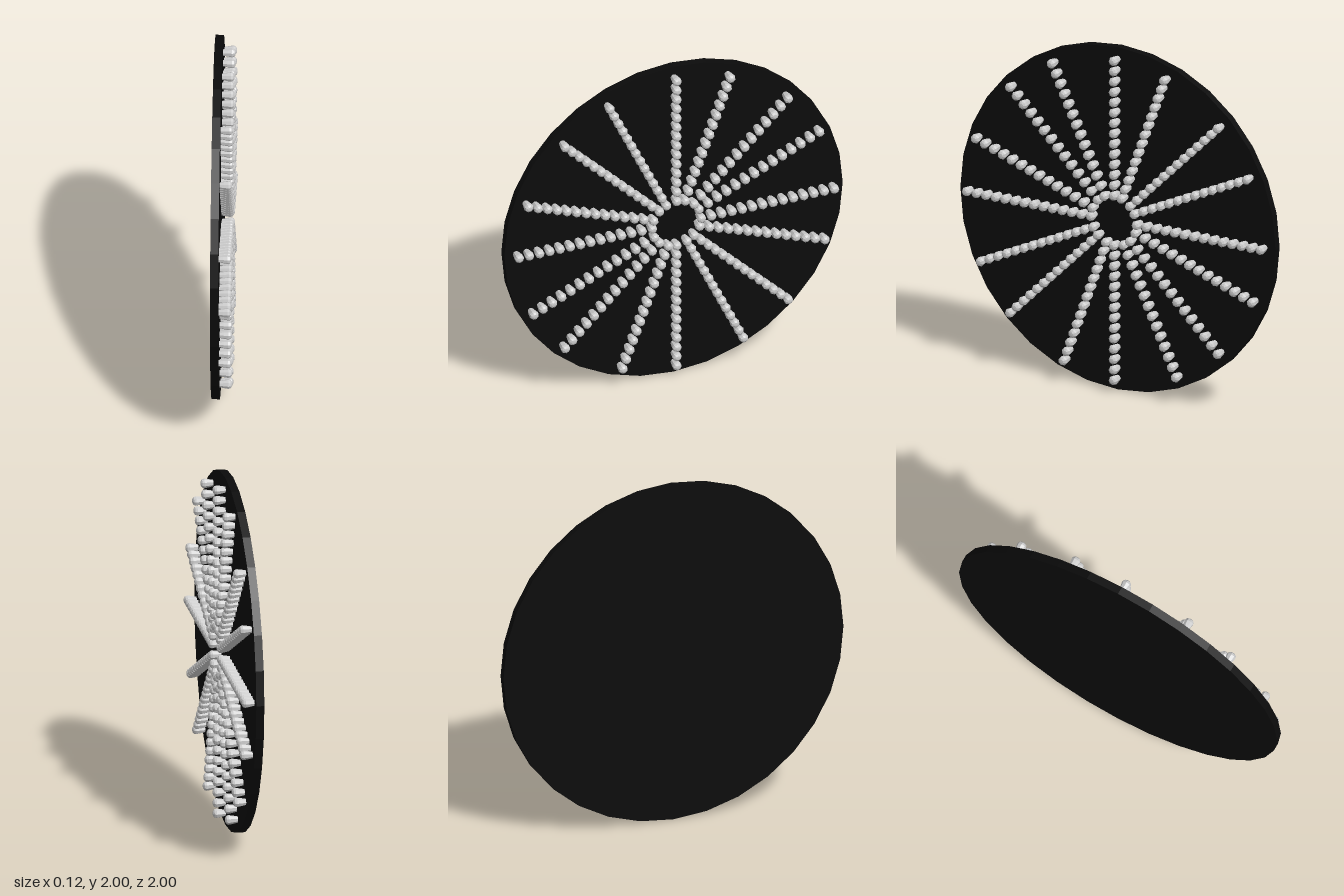
import * as THREE from 'three';

export function createModel() {
  const model = new THREE.Group();
  model.name = 'studdedDisc';

  // Thin upright disc facing +x, 32 sides with a corner at the top
  const black = new THREE.MeshStandardMaterial({ color: 0x0b0b0b, flatShading: true });
  const disc = new THREE.Mesh(new THREE.CylinderGeometry(1, 1, 0.045, 32), black);
  disc.name = 'disc';
  disc.rotation.z = -Math.PI / 2;
  disc.position.set(-0.0375, 1, 0);
  model.add(disc);

  // Stud: narrow foot flaring outwards to a shallow domed head
  const profile = [[0, 0], [0.018, 0], [0.023, 0.025], [0.027, 0.05], [0.023, 0.062], [0.012, 0.069], [0, 0.07]]
    .map(([r, h]) => new THREE.Vector2(r, h));
  const studGeometry = new THREE.LatheGeometry(profile, 8);
  studGeometry.rotateZ(-Math.PI / 2);
  const grey = new THREE.MeshStandardMaterial({ color: 0xcccccc, flatShading: true });

  // Sixteen radial rows, four per quarter turn, fourteen studs each
  const offsets = [0, 20, 45, 65];
  const count = 14, inner = 0.145, outer = 0.932;
  for (let quarter = 0; quarter < 4; quarter++) {
    for (const offset of offsets) {
      const angle = THREE.MathUtils.degToRad(quarter * 90 + offset);
      const row = new THREE.Group();
      row.name = 'studRow';
      row.position.set(-0.015, 1, 0);
      row.rotation.x = -angle;
      for (let i = 0; i < count; i++) {
        const stud = new THREE.Mesh(studGeometry, grey);
        stud.name = 'stud';
        stud.position.z = inner + (outer - inner) * i / (count - 1);
        row.add(stud);
      }
      model.add(row);
    }
  }
  return model;
}
